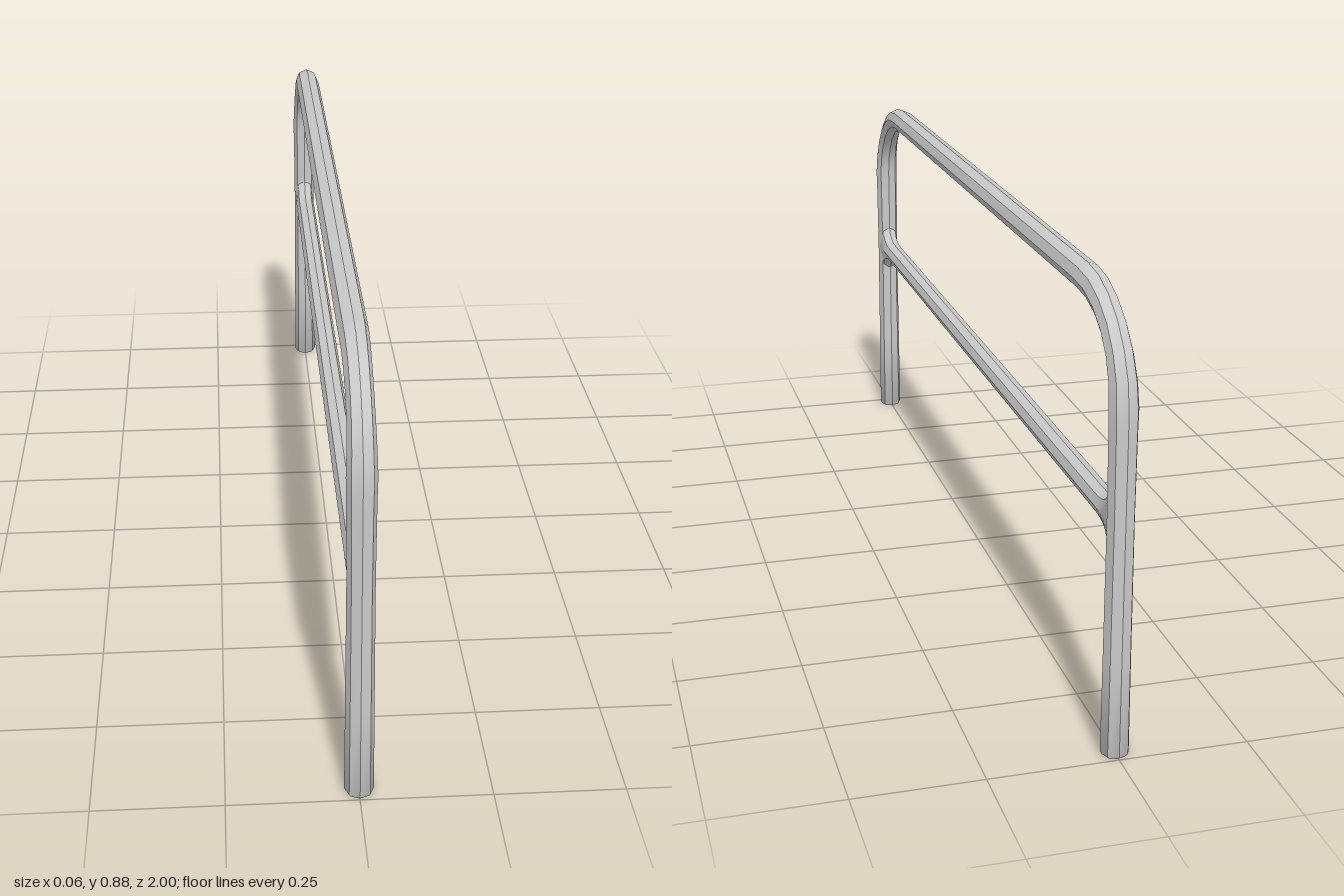
import * as THREE from 'three';
import { toCreasedNormals } from 'three/addons/utils/BufferGeometryUtils.js';

const SIDES = 8;

// Skins octagonal rings along a path in the YZ plane.
// Station: [z, y, tangentZ, tangentY, radius across x, radius in plane]
function loft(stations) {
  const pos = [], index = [];
  for (const [z, y, tz, ty, rx, rn] of stations) {
    for (let k = 0; k < SIDES; k++) {
      const a = (k / SIDES) * Math.PI * 2;
      const n = rn * Math.sin(a);
      pos.push(rx * Math.cos(a), y - tz * n, z + ty * n);
    }
  }
  const last = stations.length - 1;
  for (let i = 0; i < last; i++) {
    for (let k = 0; k < SIDES; k++) {
      const k2 = (k + 1) % SIDES;
      const a = i * SIDES + k, b = i * SIDES + k2;
      const c = a + SIDES, d = b + SIDES;
      index.push(a, c, b, b, c, d);
    }
  }
  // End caps
  for (let k = 1; k < SIDES - 1; k++) {
    const e = last * SIDES;
    index.push(0, k, k + 1, e, e + k + 1, e + k);
  }
  const geo = new THREE.BufferGeometry();
  geo.setAttribute('position', new THREE.Float32BufferAttribute(pos, 3));
  geo.setIndex(index);
  return toCreasedNormals(geo, 0.6);
}

export function createModel() {
  const group = new THREE.Group();
  const material = new THREE.MeshStandardMaterial({ color: 0xcccccc });
  const add = (name, geometry) => {
    const mesh = new THREE.Mesh(geometry, material);
    mesh.name = name;
    group.add(mesh);
  };

  // Frame: one leg and its bend, then mirrored to the far leg
  const legZ = 0.972;
  const half = [
    [legZ, 0, 0, 1, 0.024, 0.024],
    [legZ, 0.006, 0, 1, 0.028, 0.028],
    [legZ, 0.2, 0, 1, 0.027, 0.027],
    [legZ, 0.46, 0, 1, 0.026, 0.027],
    [legZ, 0.62, 0, 1, 0.027, 0.027],
  ];
  const rz = 0.212, ry = 0.179, steps = 6;
  for (let i = 0; i <= steps; i++) {
    const a = (i / steps) * Math.PI / 2;
    const tz = -rz * Math.sin(a), ty = ry * Math.cos(a);
    const len = Math.hypot(tz, ty);
    const rx = 0.028 - 0.003 * Math.sin(2 * a);
    half.push([legZ - rz + rz * Math.cos(a), 0.67 + ry * Math.sin(a),
      tz / len, ty / len, rx, 0.0265]);
  }
  const mirrored = half.map(([z, y, tz, ty, rx, rn]) => [-z, y, tz, -ty, rx, rn]).reverse();
  add('bentFrame', loft([...half, ...mirrored]));

  // Middle rail, flaring into the legs
  const flare = [
    [0.965, 0.078], [0.948, 0.06], [0.938, 0.042],
    [0.922, 0.031], [0.898, 0.0245], [0.86, 0.0235],
  ];
  const rail = flare.map(([z, r]) => [z, 0.462, -1, 0, 0.0235, r]);
  const railEnd = rail.map(([z, ...rest]) => [-z, ...rest]).reverse();
  add('middleRail', loft([...rail, ...railEnd]));

  return group;
}
